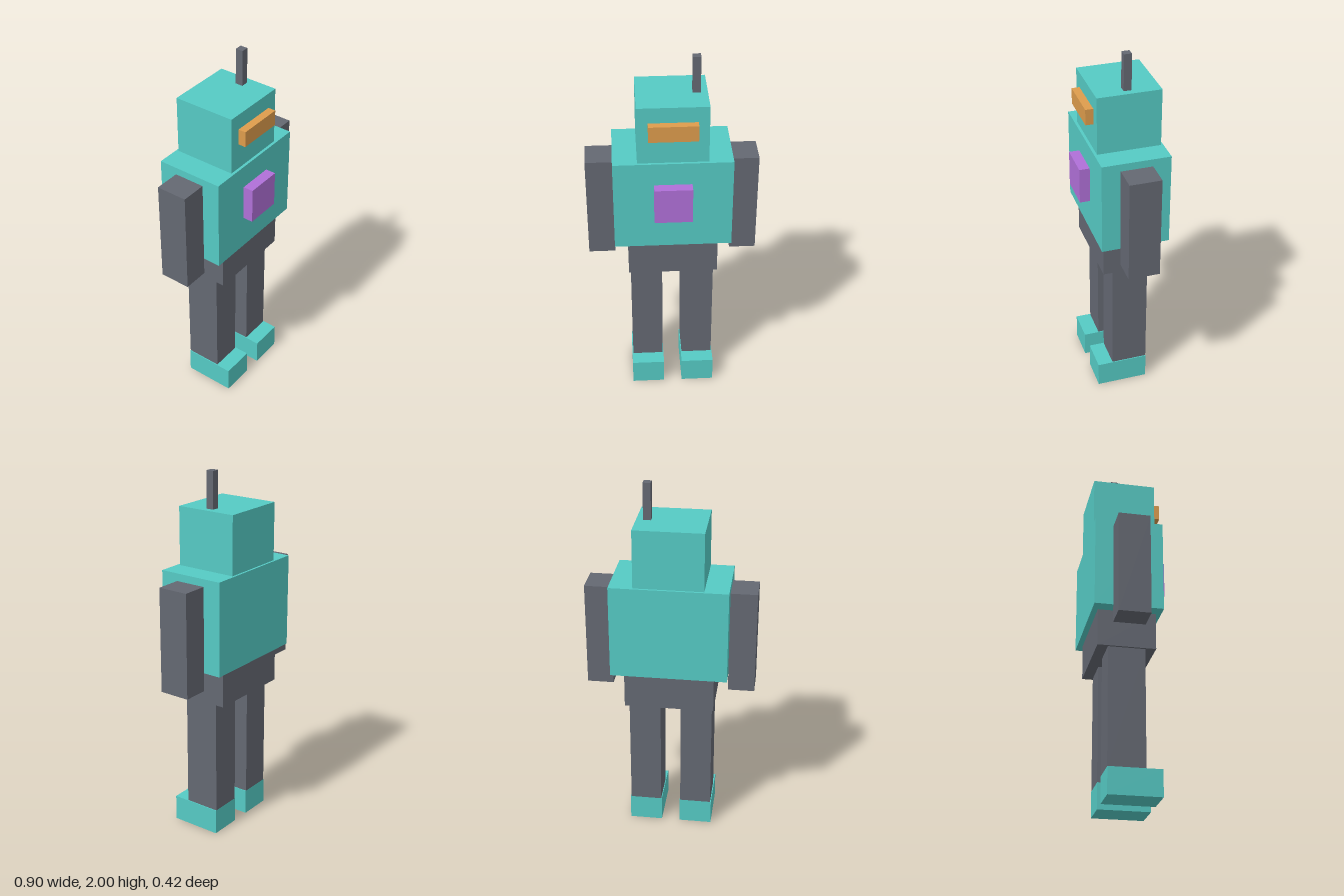
import * as THREE from 'three';

const material = (color) => new THREE.MeshStandardMaterial({ color });

export function createModel() {
  const robot = new THREE.Group();
  robot.name = 'robot';
  const teal = material(0x55cac4);
  const dark = material(0x646872);
  const orange = material(0xdd9c4c);
  const purple = material(0xb070d8);

  // Box given by its extents along each axis
  function block(name, mat, [x0, x1], [y0, y1], [z0, z1]) {
    const mesh = new THREE.Mesh(new THREE.BoxGeometry(x1 - x0, y1 - y0, z1 - z0), mat);
    mesh.position.set((x0 + x1) / 2, (y0 + y1) / 2, (z0 + z1) / 2);
    mesh.name = name;
    robot.add(mesh);
  }

  // Body and head
  block('pelvis', dark, [-0.24, 0.24], [0.783, 0.983], [-0.182, 0.127]);
  block('torso', teal, [-0.311, 0.31], [0.983, 1.49], [-0.212, 0.155]);
  block('chestPanel', purple, [-0.1, 0.098], [1.168, 1.365], [0.155, 0.211]);
  block('head', teal, [-0.184, 0.183], [1.49, 1.804], [-0.2, 0.14]);
  block('visor', orange, [-0.127, 0.126], [1.634, 1.72], [0.14, 0.182]);
  block('antenna', dark, [0.106, 0.147], [1.804, 2], [-0.051, -0.01]);

  // Paired limbs, +x is the model's left
  for (const [side, s] of [['left', 1], ['right', -1]]) {
    const span = (a, b, shift = 0) => (s > 0 ? [a + shift, b + shift] : [-b + shift, -a + shift]);
    block(side + 'Arm', dark, span(0.311, 0.452), [0.884, 1.45], [-0.114, 0.056]);
    block(side + 'Leg', dark, span(0.055, 0.226, -0.002), [0.142, 0.783], [-0.125, 0.072]);
    block(side + 'Foot', teal, span(0.051, 0.231, -0.002), [0, 0.142], [-0.125, 0.156]);
  }
  return robot;
}
